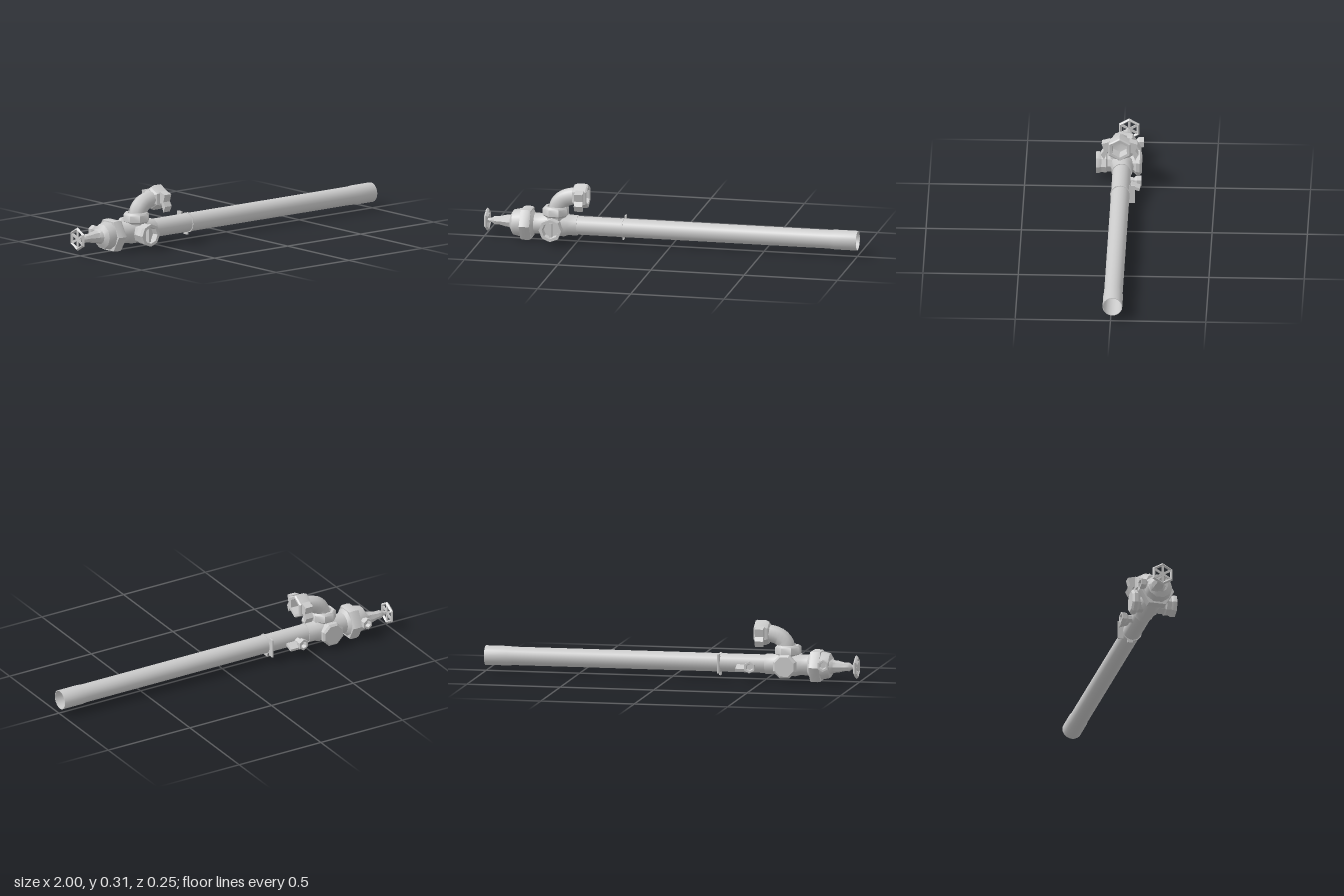
import * as THREE from 'three';
import { toCreasedNormals } from 'three/addons/utils/BufferGeometryUtils.js';

const material = new THREE.MeshStandardMaterial({ color: 0xcccccc, side: THREE.DoubleSide });

export function createModel() {
  const model = new THREE.Group();

  function add(name, geometry, x = 0, y = 0, z = 0, crease = 0.75) {
    const mesh = new THREE.Mesh(toCreasedNormals(geometry, crease), material);
    mesh.name = name;
    mesh.position.set(x, y, z);
    model.add(mesh);
    return mesh;
  }

  // Turned profile of [radius, distance] pairs, laid along the given axis
  function turned(profile, sides, axis, phase = 0) {
    const g = new THREE.LatheGeometry(profile.map(p => new THREE.Vector2(...p)), sides, phase);
    if (axis === 'x') g.rotateZ(-Math.PI / 2);
    if (axis === 'z') g.rotateX(Math.PI / 2);
    return g;
  }

  // Long open pipe with a slightly wider socket at its end
  add('mainPipe', turned([[0.049, -0.56], [0.049, 0.85], [0.052, 0.88], [0.052, 1],
    [0.049, 1], [0.046, 0.86], [0.046, -0.56]], 20, 'x'), 0, 0.098, -0.01);

  // Valve body, with its hexagonal flange and tapering bonnet
  add('valveBody', turned([[0.04, -0.86], [0.066, -0.845], [0.074, -0.81], [0.074, -0.745],
    [0.056, -0.73], [0.054, -0.69], [0.062, -0.66], [0.062, -0.57], [0.054, -0.55],
    [0.054, -0.5], [0.049, -0.5]], 10, 'x'), 0, 0.098, -0.01);
  add('bodyFlange', turned([[0.06, -0.8], [0.09, -0.8], [0.093, -0.785], [0.093, -0.755],
    [0.088, -0.745], [0.06, -0.745]], 6, 'x'), 0, 0.096, -0.012, 0.5);
  add('bonnet', turned([[0, -0.985], [0.01, -0.985], [0.012, -0.965], [0.023, -0.95],
    [0.023, -0.925], [0.032, -0.89], [0.034, -0.865], [0.046, -0.85], [0.046, -0.83]], 8, 'x'), 0, 0.097, -0.026);

  // Hexagonal handwheel with spokes
  const wheel = new THREE.Group();
  wheel.name = 'handwheel';
  wheel.position.set(-0.99, 0.098, -0.033);
  const rim = new THREE.Mesh(toCreasedNormals(
    new THREE.TorusGeometry(0.054, 0.009, 4, 6).rotateZ(Math.PI / 6).rotateY(Math.PI / 2), 0.5), material);
  rim.name = 'wheelRim';
  wheel.add(rim);
  for (let i = 0; i < 3; i++) {
    const spoke = new THREE.Mesh(new THREE.BoxGeometry(0.007, 0.105, 0.012), material);
    spoke.name = 'wheelSpoke';
    spoke.rotation.x = i * Math.PI / 3;
    wheel.add(spoke);
  }
  model.add(wheel);

  // Upright neck and collar below the elbow
  add('elbowCollar', turned([[0.055, 0.1], [0.058, 0.145], [0.07, 0.155], [0.07, 0.19],
    [0.06, 0.2], [0.045, 0.2]], 8, 'y', Math.PI / 8), -0.617, 0, 0);

  // Bent outlet
  const bend = new THREE.CatmullRomCurve3([[-0.61, 0.17], [-0.605, 0.205], [-0.575, 0.24],
    [-0.53, 0.257], [-0.48, 0.262]].map(p => new THREE.Vector3(p[0], p[1], 0)));
  add('elbow', new THREE.TubeGeometry(bend, 10, 0.046, 8), 0, 0, 0, 1);

  // Hexagonal outlet coupling with a hollow mouth
  add('outletCoupling', turned([[0.045, -0.045], [0.058, -0.038], [0.066, -0.02], [0.066, 0.028],
    [0.06, 0.036], [0.045, 0.034], [0.04, -0.02], [0, -0.03]], 6, 'x', Math.PI / 6), -0.478, 0.262, 0, 0.5);

  // Pair of hooked lugs on the coupling
  for (const side of [1, -1]) {
    const lug = new THREE.Shape([[0.052, 0.04], [0.094, 0.028], [0.083, -0.012], [0.098, -0.035],
      [0.082, -0.066], [0.066, -0.022], [0.052, -0.02]].map(p => new THREE.Vector2(p[0] * side, p[1])));
    const g = new THREE.ExtrudeGeometry(lug, { depth: 0.045, bevelEnabled: false });
    g.translate(0, 0, -0.0225).rotateY(-Math.PI / 2);
    add('couplingLug', g, -0.478, 0.262, 0, 0.4);
  }

  // Front side outlet, recessed, with a cross bar in its mouth
  add('sideOutlet', turned([[0.05, 0], [0.05, 0.068], [0.058, 0.075], [0.054, 0.1], [0.06, 0.112],
    [0.06, 0.128], [0.044, 0.128], [0.04, 0.095], [0, 0.095]], 8, 'z'), -0.622, 0.095, 0, 0.5);
  add('outletBar', new THREE.BoxGeometry(0.014, 0.075, 0.022), -0.622, 0.095, 0.106);

  // Rear blanking cap
  add('rearCap', turned([[0, -0.112], [0.055, -0.112], [0.066, -0.102], [0.066, -0.084],
    [0.052, -0.07], [0.052, 0]], 8, 'z', Math.PI / 8), -0.617, 0.098, 0, 0.5);

  // Small drain ports at the rear, flared at the mouth
  function drainPort(name, x, y, length, lean) {
    const g = turned([[0.024, 0], [0.02, length * 0.55], [0.031, length * 0.7], [0.031, length],
      [0.02, length], [0.016, length * 0.7], [0, length * 0.7]], 6, 'z');
    g.rotateY(Math.PI + lean);
    add(name, g, x, y, -0.035, 0.5);
  }
  drainPort('bodyDrainPort', -0.815, 0.11, 0.08, 0.12);
  drainPort('pipeDrainPort', -0.425, 0.09, 0.08, 0.08);

  // Latch projecting from the pipe port
  const latch = add('portLatch', new THREE.BoxGeometry(0.06, 0.016, 0.05), -0.385, 0.083, -0.085);
  latch.rotation.x = -0.35;

  // Thin pipe clip with a tab at the back
  add('pipeClip', turned([[0.048, -0.004], [0.054, -0.004], [0.054, 0.004], [0.048, 0.004]], 12, 'x'),
    -0.258, 0.098, -0.01);
  add('clipTab', new THREE.BoxGeometry(0.008, 0.1, 0.032), -0.258, 0.1, -0.072);
  add('clipFoot', new THREE.BoxGeometry(0.008, 0.02, 0.03), -0.258, 0.043, -0.02);

  return model;
}
